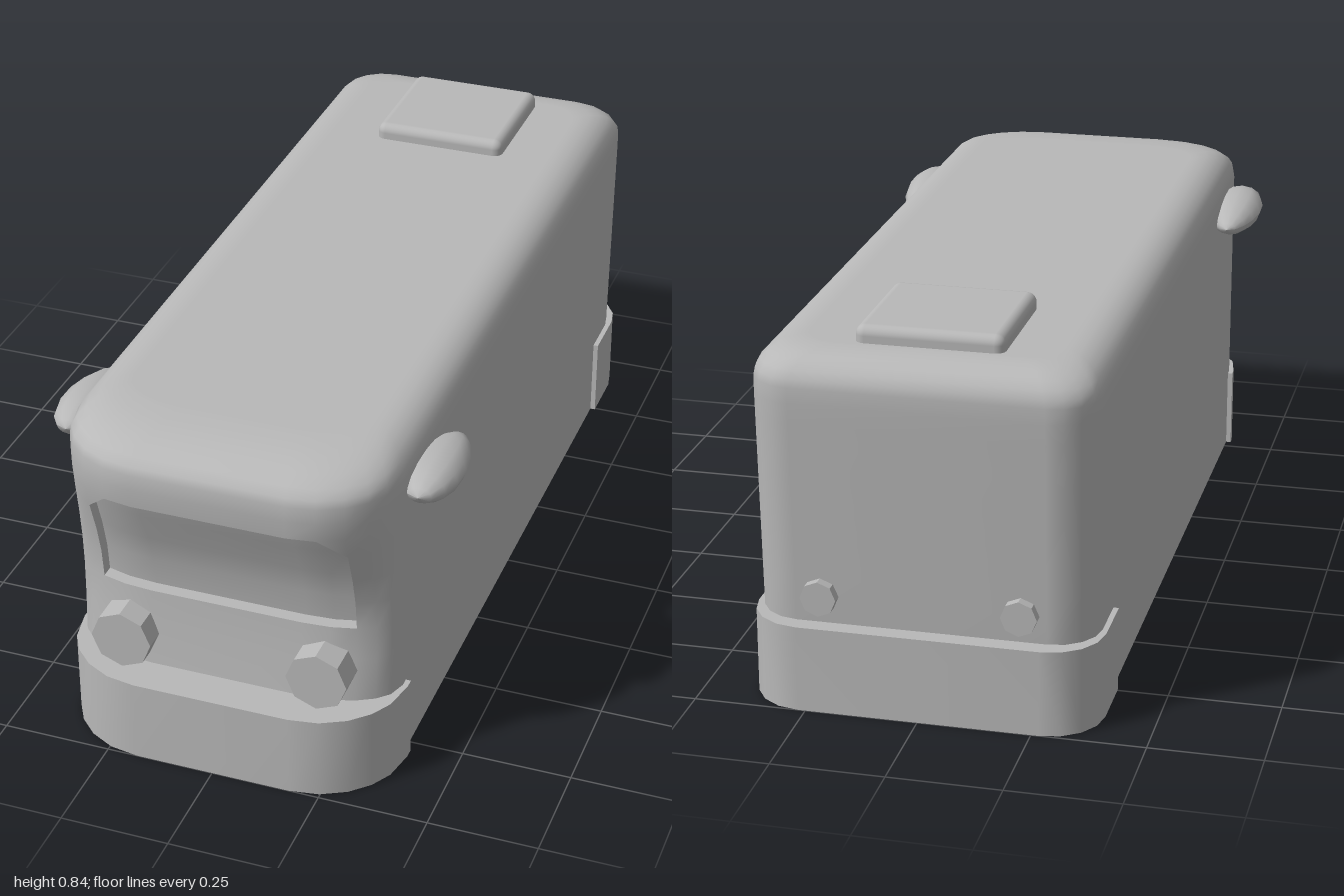
import * as THREE from 'three';
import { mergeGeometries } from 'three/addons/utils/BufferGeometryUtils.js';
import { RoundedBoxGeometry } from 'three/addons/geometries/RoundedBoxGeometry.js';

const V = (x, y, z) => new THREE.Vector3(x, y, z);
const SINES = [0, 0.325, 0.6, 0.8, 0.93, 1];

// Half outline in plan, from front centre round the +x side to back centre
function halfPlan(y, w, zFront, zCorner, zBack, rBack) {
  const rx = w * 0.2 / 0.375;
  const pts = [V(0, y, zFront)];
  for (const s of SINES)
    pts.push(V(w - rx + rx * s, y, zCorner + (zFront - zCorner) * Math.sqrt(1 - s * s)));
  for (let i = 0; i <= 4; i++) {
    const a = i / 4 * Math.PI / 2;
    pts.push(V(w - rBack + rBack * Math.cos(a), y, zBack + rBack - rBack * Math.sin(a)));
  }
  pts.push(V(0, y, zBack));
  return pts;
}
const mirror = (p) => V(-p.x, p.y, p.z);
const fullPlan = (half) => [...half, ...half.slice(1, -1).reverse().map(mirror)];

function build(points, index) {
  const g = new THREE.BufferGeometry().setFromPoints(points);
  g.setIndex(index);
  g.computeVertexNormals();
  return g;
}

// Open strip between two rows of points
function strip(low, high) {
  const n = low.length, index = [];
  for (let j = 0; j < n - 1; j++) index.push(j, j + 1, n + j + 1, j, n + j + 1, n + j);
  return build([...low, ...high], index);
}

export function createModel() {
  const group = new THREE.Group();
  const grey = new THREE.MeshStandardMaterial({ color: 0xb8b8b8, side: THREE.DoubleSide });
  grey.name = 'bodyGrey';
  const add = (name, geometry, parent = group) => {
    const m = new THREE.Mesh(geometry, grey);
    m.name = name;
    parent.add(m);
    return m;
  };

  // Body rows: height, front z (pinched below the windscreen)
  const profile = [[0, 0.91], [0.196, 0.91], [0.3, 0.897], [0.38, 0.893], [0.45, 0.903],
    [0.52, 0.925], [0.6, 0.96], [0.655, 0.98], [0.7, 0.985]];
  const backZ = (y) => -0.95 - 0.035 * Math.min(1, y / 0.7);
  const halves = profile.map(([y, z]) => halfPlan(y, 0.375, z, 0.8, backZ(y), 0.1));
  // Rounded roof edge
  for (let i = 0; i <= 6; i++) {
    const a = i / 6 * Math.PI / 2, d = 1 - Math.cos(a);
    halves.push(halfPlan(0.735 + 0.07 * Math.sin(a), 0.375 - 0.085 * d, 0.983 - 0.18 * d,
      0.8 - 0.09 * d, -0.985 + 0.1 * d, 0.1 - 0.02 * d));
  }
  // Flat roof closes on the centre line
  const edge = halves[halves.length - 1];
  for (const k of [0.95, 0]) halves.push(edge.map((p) => V(p.x * k, p.y, p.z * (k ? 0.99 : 0.985))));

  const rows = halves.map(fullPlan);
  const n = rows[0].length;
  const at = (i, j) => i * n + (j + n) % n;
  const points = rows.flat();
  const bodyIndex = [], glassIndex = [];
  const sideA = 6, sideB = n - 7;
  for (let i = 0; i < rows.length - 1; i++) {
    for (let j = 0; j < n; j++) {
      // Below bumper height only the long sides continue down
      if (i === 0 && j !== sideA && j !== sideB) continue;
      const col = j > n / 2 ? j - n : j;
      const a = at(i, j), b = at(i, j + 1), c = at(i + 1, j + 1), d = at(i + 1, j);
      const inWindow = i >= 3 && i < 7 && col >= -3 && col < 3;
      if (inWindow && i === 6 && col === 2) {          // cut upper corners
        glassIndex.push(a, b, d);
        bodyIndex.push(b, c, d);
      } else if (inWindow && i === 6 && col === -3) {
        glassIndex.push(a, b, c);
        bodyIndex.push(a, c, d);
      } else (inWindow ? glassIndex : bodyIndex).push(a, b, c, a, c, d);
    }
  }
  add('bodyShell', build(points, bodyIndex));

  // Recessed windscreen and its surround
  const inset = (p) => V(p.x, p.y, p.z - 0.03);
  add('windscreen', build(points.map(inset), glassIndex));
  const ring = [];
  for (let c = -3; c <= 3; c++) ring.push([3, c]);
  for (let r = 4; r <= 6; r++) ring.push([r, 3]);
  for (let c = 2; c >= -2; c--) ring.push([7, c]);
  for (let r = 6; r >= 3; r--) ring.push([r, -3]);
  const rim = ring.map(([r, c]) => points[at(r, c)]);
  const reveals = [];
  for (let k = 0; k < rim.length - 1; k++)
    reveals.push(strip([rim[k], rim[k + 1]], [inset(rim[k]), inset(rim[k + 1])]));
  add('windscreenSurround', mergeGeometries(reveals));

  // Wraparound bumpers: outer wall, top ledge and end caps
  const outerHalf = halfPlan(0.196, 0.387, 1, 0.8, -1, 0.12);
  const innerHalf = halfPlan(0.196, 0.37, 0.9, 0.79, -0.95, 0.1);
  const drop = (p) => V(p.x, 0, p.z);
  function bumper(name, from, to, endZ) {
    const path = (half, w) => {
      let h = half.slice(from, to);
      if (endZ < 0) h = h.reverse();
      h.push(V(w, 0.196, endZ));
      return [...h.slice(1).reverse().map(mirror), ...h];
    };
    const outer = path(outerHalf, 0.387), inner = path(innerHalf, 0.37);
    const parts = [strip(outer.map(drop), outer), strip(outer, inner)];
    for (const k of [0, outer.length - 1])
      parts.push(strip([drop(outer[k]), drop(inner[k])], [outer[k], inner[k]]));
    add(name, mergeGeometries(parts));
  }
  bumper('frontBumper', 0, 7, 0.78);
  bumper('rearBumper', 7, 13, -0.745);

  // Roof hatch
  const hatch = add('roofHatch', new RoundedBoxGeometry(0.325, 0.075, 0.32, 3, 0.022));
  hatch.position.set(0, 0.805, -0.71);

  for (const s of [1, -1]) {
    const side = s > 0 ? 'left' : 'right';
    // Lamps
    const head = new THREE.CylinderGeometry(0.07, 0.07, 0.09, 8).toNonIndexed();
    head.computeVertexNormals();
    head.rotateX(Math.PI / 2);
    add(side + 'Headlamp', head).position.set(s * 0.228, 0.272, 0.905);
    const tail = new THREE.CylinderGeometry(0.04, 0.04, 0.06, 8).toNonIndexed();
    tail.computeVertexNormals();
    tail.rotateX(Math.PI / 2);
    add(side + 'TailLamp', tail).position.set(s * 0.22, 0.26, -0.957);

    // Mirror pods, tapering towards the back
    const pod = new THREE.SphereGeometry(1, 12, 8);
    pod.rotateX(Math.PI / 2);
    const p = pod.attributes.position;
    for (let i = 0; i < p.count; i++) {
      const z = p.getZ(i), taper = 1 + 0.15 * z;
      p.setXYZ(i, p.getX(i) * 0.062 * taper, p.getY(i) * 0.042 * taper + z * 0.008, z * 0.145);
    }
    pod.computeVertexNormals();
    add(side + 'Mirror', pod).position.set(s * 0.404, 0.685, 0.655);
  }
  return group;
}
